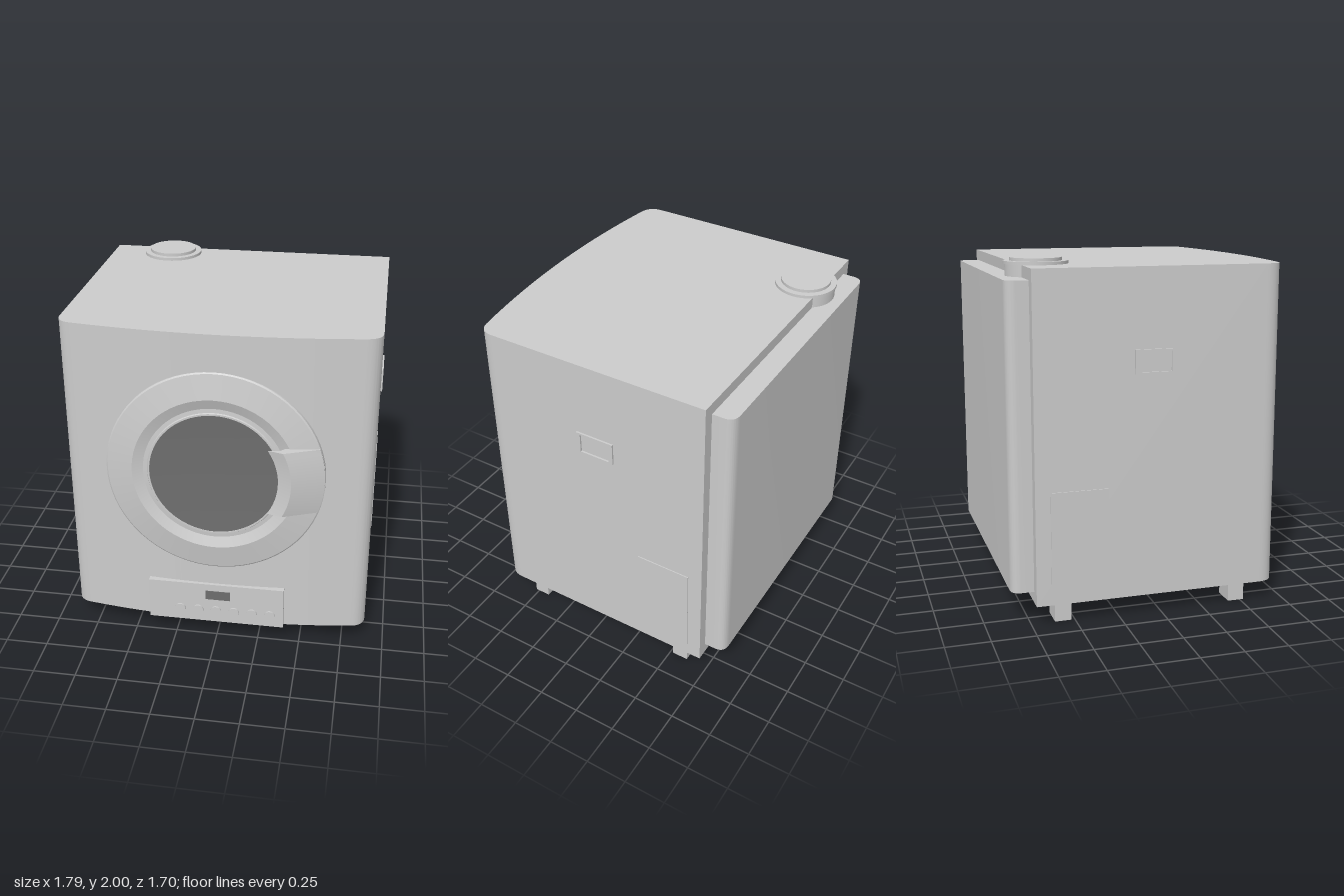
import * as THREE from 'three';
import { toCreasedNormals } from 'three/addons/utils/BufferGeometryUtils.js';

const shell = new THREE.MeshStandardMaterial({ name: 'lightGreyShell', color: 0xcccccc });
const dark = new THREE.MeshStandardMaterial({ name: 'darkGlass', color: 0x6e6e6e });

export function createModel() {
  const model = new THREE.Group();

  const add = (name, geometry, x = 0, y = 0, z = 0, material = shell) => {
    const mesh = new THREE.Mesh(geometry, material);
    mesh.name = name;
    mesh.position.set(x, y, z);
    model.add(mesh);
    return mesh;
  };
  // Box given by its limits
  const box = (name, x0, x1, y0, y1, z0, z1, material) =>
    add(name, new THREE.BoxGeometry(x1 - x0, y1 - y0, z1 - z0),
      (x0 + x1) / 2, (y0 + y1) / 2, (z0 + z1) / 2, material);
  // Plan outline drawn as (x, -z), raised along y
  const raise = (shape, height, steps = 1) =>
    new THREE.ExtrudeGeometry(shape, { depth: height, steps, bevelEnabled: false, curveSegments: 16 })
      .rotateX(-Math.PI / 2);
  // Profile of (radius, z) turned around the z axis
  const turn = (points, crease) => toCreasedNormals(
    new THREE.LatheGeometry(points.map(([r, z]) => new THREE.Vector2(r, z)), 72).rotateX(Math.PI / 2), crease);

  // Cabinet with a bowed, round-cornered front
  box('cabinet', -0.885, 0.885, 0.115, 1.965, -0.725, 0.6);
  const front = new THREE.Shape();
  front.moveTo(-0.885, -0.6);
  front.quadraticCurveTo(-0.885, -0.687, -0.8, -0.7);
  front.quadraticCurveTo(0, -0.82, 0.8, -0.7);
  front.quadraticCurveTo(0.885, -0.687, 0.885, -0.6);
  front.closePath();
  add('frontPanel', toCreasedNormals(raise(front, 1.85), 0.6), 0, 0.115, 0);

  // Rear cover with rounded upright edges
  const rear = new THREE.Shape();
  rear.moveTo(-0.82, 0.72);
  rear.lineTo(0.82, 0.72);
  rear.lineTo(0.82, 0.79);
  rear.quadraticCurveTo(0.82, 0.852, 0.755, 0.852);
  rear.lineTo(-0.755, 0.852);
  rear.quadraticCurveTo(-0.82, 0.852, -0.82, 0.79);
  rear.closePath();
  add('rearCover', toCreasedNormals(raise(rear, 1.72), 0.6), 0, 0.18, 0);

  // Exhaust outlet at the top rear
  const disc = (name, r, y0, y1) =>
    add(name, new THREE.CylinderGeometry(r, r, y1 - y0, 48), -0.5, (y0 + y1) / 2, -0.618);
  disc('outletPipe', 0.172, 1.9, 1.97);
  disc('outletFlange', 0.18, 1.965, 1.982);
  disc('outletCap', 0.145, 1.98, 2);

  // Round door: sloped ring, shallow funnel and raised lip
  const doorY = 1.127;
  add('doorRing', turn([
    [0.623, 0.7], [0.623, 0.76], [0.615, 0.766], [0.47, 0.79], [0.41, 0.768],
    [0.386, 0.77], [0.382, 0.777], [0.372, 0.777], [0.372, 0.75],
  ], 0.25), -0.003, doorY, 0);
  add('doorGlass', turn([[0.374, 0.774], [0.28, 0.77], [0.15, 0.767], [0, 0.766]], 0.5),
    -0.003, doorY, 0, dark);

  // Door handle: straight cut of a ring, bent to follow the door
  const grip = new THREE.Shape([
    [0.365, 0.826], [0.44, 0.85], [0.62, 0.77], [0.62, 0.74], [0.447, 0.788], [0.42, 0.82],
  ].map(([r, z]) => new THREE.Vector2(r, -z)));
  const gripGeometry = raise(grip, 0.4, 12).translate(0, -0.2, 0);
  const p = gripGeometry.attributes.position;
  for (let i = 0; i < p.count; i++) {
    p.setX(i, Math.sqrt(p.getX(i) ** 2 - p.getY(i) ** 2));
  }
  gripGeometry.computeVertexNormals();
  add('doorHandle', toCreasedNormals(gripGeometry, 0.3), -0.003, 1.135, 0);

  // Control panel with display and buttons
  box('controlPanel', -0.405, 0.405, 0.115, 0.38, 0.68, 0.778);
  box('display', -0.063, 0.085, 0.275, 0.335, 0.776, 0.781, dark);
  for (let i = 0; i < 6; i++) {
    const button = new THREE.CylinderGeometry(0.032, 0.032, 0.014, 24).rotateX(Math.PI / 2);
    add('button', button, -0.216 + i * 0.108, 0.195, 0.781);
  }

  // Framed grip with an open middle
  const rect = (target, w, h) => {
    target.moveTo(-w, -h);
    target.lineTo(w, -h);
    target.lineTo(w, h);
    target.lineTo(-w, h);
    target.closePath();
    return target;
  };
  const frame = rect(new THREE.Shape(), 0.117, 0.068);
  frame.holes.push(rect(new THREE.Path(), 0.092, 0.057));
  const frameGeometry = new THREE.ExtrudeGeometry(frame, { depth: 0.02, bevelEnabled: false })
    .translate(0, 0, -0.01).rotateY(Math.PI / 2);

  for (const s of [-1, 1]) {
    add('sideGrip', frameGeometry, s * 0.886, 1.453, -0.047);
    box('servicePanel', s * 0.886 - 0.005, s * 0.886 + 0.005, 0.195, 0.76, -0.64, -0.31);
    // Feet
    for (const z of [0.473, -0.567]) {
      box('foot', s * 0.778 - 0.067, s * 0.778 + 0.067, 0, 0.12, z - 0.048, z + 0.048);
    }
  }
  return model;
}
